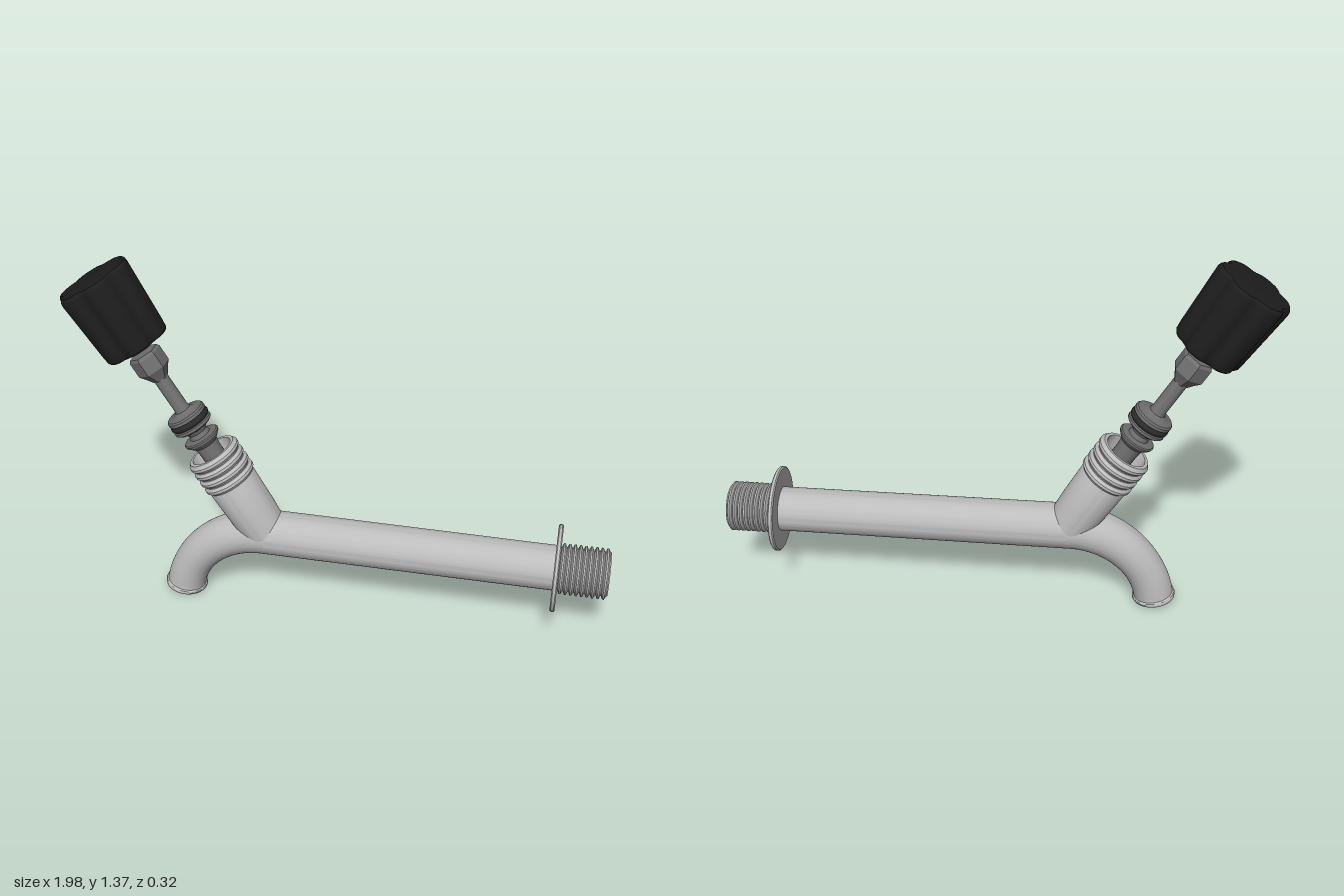
import * as THREE from 'three';
import { toCreasedNormals } from 'three/addons/utils/BufferGeometryUtils.js';

const material = (name, color) => {
  const m = new THREE.MeshStandardMaterial({ color });
  m.name = name;
  return m;
};

// Turned part: [radius, height] pairs, optionally reshaped by a vertex rule
function turned(name, mat, profile, { sides = 64, rule = null, crease = 0.5 } = {}) {
  let geo = new THREE.LatheGeometry(profile.map(([r, y]) => new THREE.Vector2(r, y)), sides);
  if (rule) {
    const pos = geo.attributes.position;
    const v = new THREE.Vector3();
    for (let i = 0; i < pos.count; i++) {
      rule(v.fromBufferAttribute(pos, i));
      pos.setXYZ(i, v.x, v.y, v.z);
    }
  }
  geo = toCreasedNormals(geo, crease);
  const mesh = new THREE.Mesh(geo, mat);
  mesh.name = name;
  return mesh;
}

// Row of rounded thread ridges for a profile
function ridges(start, pitch, count, root, crest) {
  const out = [];
  for (let i = 0; i < count; i++) {
    const y = start + i * pitch;
    out.push([root, y], [crest, y + pitch * 0.3], [crest, y + pitch * 0.6], [root, y + pitch * 0.9]);
  }
  return out;
}

export function createModel() {
  const chrome = material('satin metal', 0xbcbcbc);
  const steel = material('dark steel', 0x707070);
  const rubber = material('black rubber', 0x2a2a2a);
  const plastic = material('black plastic', 0x1d1d1d);
  chrome.side = THREE.DoubleSide;

  const model = new THREE.Group();
  model.name = 'tap';
  const axisY = 0.315;
  const elbowX = -0.271;

  // Horizontal pipe with wall flange, threaded inlet and inner seat wall
  const body = new THREE.Group();
  body.name = 'body';
  body.position.y = axisY;
  body.rotation.z = -Math.PI / 2;
  body.add(turned('inletPipe', chrome, [
    [0.062, elbowX], [0.085, elbowX], [0.083, 0.82],
    ...ridges(0.822, 0.0195, 9, 0.08, 0.093),
    [0.08, 1], [0.07, 1], [0.07, -0.17], [0.028, -0.17], [0.028, -0.19], [0.062, -0.19], [0.062, elbowX],
  ]));
  body.add(turned('wallFlange', chrome, [
    [0.08, 0.802], [0.155, 0.802], [0.16, 0.806], [0.16, 0.816], [0.155, 0.82], [0.08, 0.82],
  ]));
  model.add(body);

  // Spout: a straight tapered tube bent downwards
  const bendR = 0.343;
  const sweep = THREE.MathUtils.degToRad(82);
  const length = bendR * sweep;
  const spout = [];
  const steps = 24;
  for (let i = 0; i <= steps; i++) {
    const t = i / steps;
    spout.push([0.085 - 0.011 * Math.min(1, t * 1.3), t * (length - 0.02)]);
  }
  spout.push([0.079, length - 0.016], [0.081, length - 0.01], [0.079, length - 0.002], [0.076, length], [0.063, length]);
  for (let i = steps; i >= 0; i--) spout.push([0.062, (i / steps) * (length - 0.02)]);
  model.add(turned('spout', chrome, spout, {
    rule: (v) => {
      const a = v.y / bendR;
      const r = bendR + v.x;
      v.set(elbowX - r * Math.sin(a), axisY - bendR + r * Math.cos(a), v.z);
    },
  }));

  // Everything on the tilted valve axis
  const valve = new THREE.Group();
  valve.name = 'valve';
  valve.position.set(-0.275, axisY, 0);
  valve.rotation.z = THREE.MathUtils.degToRad(30.8);
  model.add(valve);

  // Hollow branch with threaded mouth
  valve.add(turned('valveBranch', chrome, [
    [0, 0], [0.083, 0], [0.09, 0.1], [0.094, 0.25],
    ...ridges(0.255, 0.0345, 4, 0.093, 0.102),
    [0.092, 0.392], [0.08, 0.392], [0.078, 0.13], [0, 0.13],
  ]));

  // Spindle: plug, flared disc, seal carrier and rod
  valve.add(turned('spindle', steel, [
    [0, 0.31], [0.036, 0.31], [0.042, 0.33], [0.042, 0.4], [0.046, 0.43],
    [0.068, 0.452], [0.07, 0.46], [0.066, 0.464], [0.04, 0.468], [0.036, 0.485],
    [0.045, 0.5], [0.068, 0.508], [0.075, 0.514], [0.075, 0.524], [0.06, 0.526],
    [0.06, 0.552], [0.075, 0.554], [0.075, 0.566], [0.07, 0.572], [0.045, 0.575],
    [0.03, 0.585], [0.0275, 0.6], [0.0275, 0.77], [0, 0.77],
  ], { sides: 48 }));

  // Rubber seal seated in the carrier
  const seal = new THREE.Mesh(new THREE.TorusGeometry(0.064, 0.013, 12, 48), rubber);
  seal.name = 'sealRing';
  seal.rotation.x = Math.PI / 2;
  seal.position.y = 0.539;
  valve.add(seal);

  // Hexagonal drive head, corners towards front and back
  valve.add(turned('hexHead', steel, [
    [0, 0.725], [0.03, 0.725], [0.045, 0.748], [0.062, 0.77], [0.062, 0.828], [0.055, 0.839], [0, 0.839],
  ], { sides: 6, crease: 0.2 }));

  // Hollow grip knob, six broad lobes separated by grooves
  valve.add(turned('knob', plastic, [
    [0, 0.98], [0.096, 0.98], [0.096, 0.9], [0.106, 0.89], [0.108, 0.873], [0.12, 0.873],
    [0.127, 0.882], [0.13, 0.91], [0.143, 1.135], [0.141, 1.148], [0.133, 1.157], [0.115, 1.16], [0, 1.162],
  ], {
    sides: 96,
    rule: (v) => {
      const r = Math.hypot(v.x, v.z);
      if (r < 0.112) return;
      const groove = Math.pow((1 - Math.cos(6 * Math.atan2(v.z, v.x))) / 2, 2.5);
      const k = 1 - 0.13 * groove;
      v.x *= k;
      v.z *= k;
    },
  }));

  return model;
}
